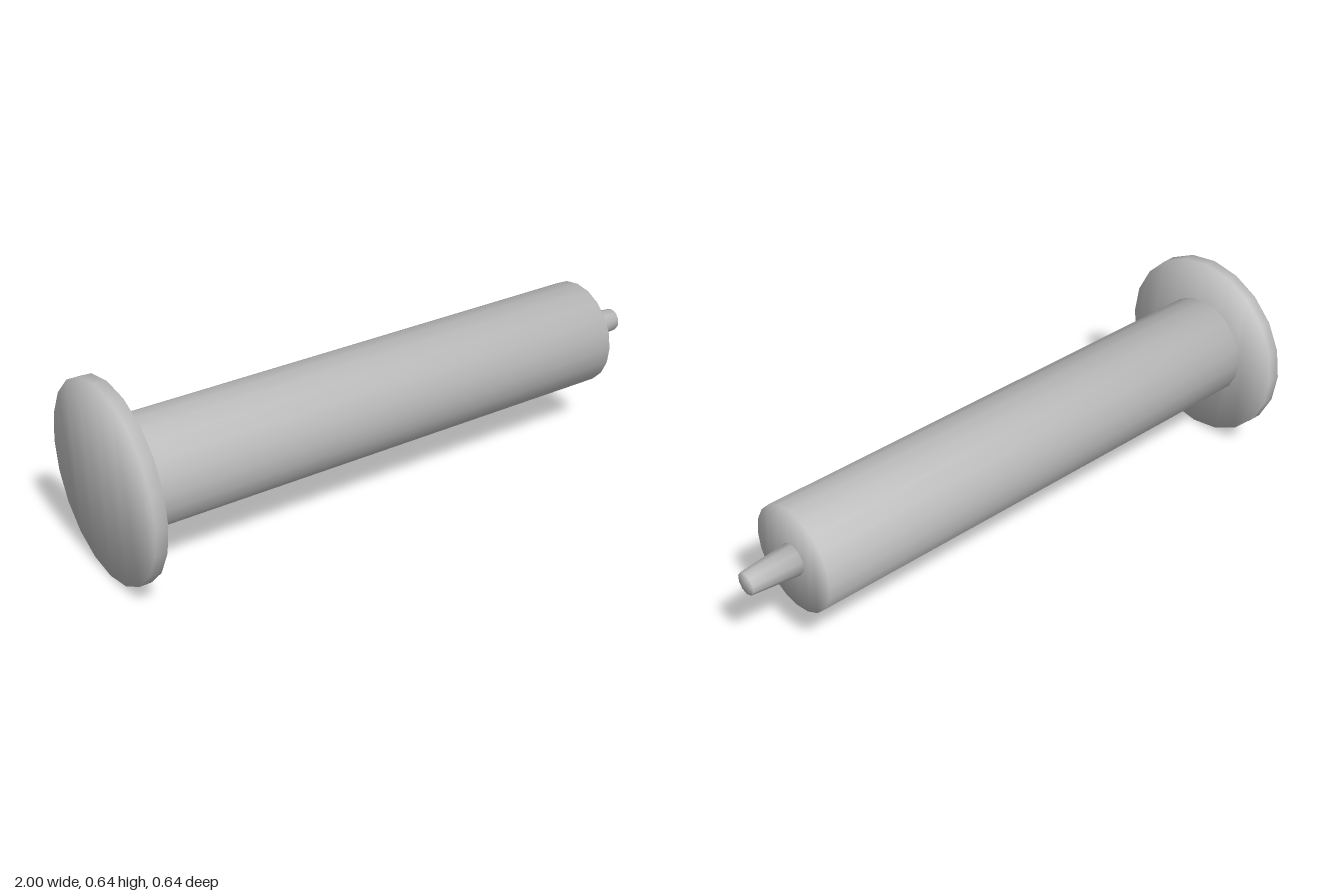
import * as THREE from 'three';

// Closed, softly shaded round solid along x; rim normals blend side and cap.
function roundSolid(x0, x1, r0, r1, sides) {
  const position = [], normal = [], index = [];
  const s = Math.SQRT1_2;
  for (const [x, r, dir] of [[x0, r0, -1], [x1, r1, 1]]) {
    for (let i = 0; i < sides; i++) {
      const a = (i / sides) * Math.PI * 2;
      position.push(x, r * Math.cos(a), r * Math.sin(a));
      normal.push(dir * s, s * Math.cos(a), s * Math.sin(a));
    }
  }
  // side wall
  for (let i = 0; i < sides; i++) {
    const j = (i + 1) % sides;
    index.push(i, j, sides + i, j, sides + j, sides + i);
  }
  // end caps, filled as zigzag strips across the rim
  const shift = Math.floor(sides / 4);
  const at = (i) => (i + shift) % sides;
  const cap = (a, b, c) => {
    index.push(sides + at(a), sides + at(b), sides + at(c));
    index.push(at(c), at(b), at(a));
  };
  for (let lo = 0, hi = sides - 1; lo + 1 < hi; lo++, hi--) {
    cap(lo, lo + 1, hi);
    if (lo + 1 < hi - 1) cap(lo + 1, hi - 1, hi);
  }
  const geometry = new THREE.BufferGeometry();
  geometry.setAttribute('position', new THREE.Float32BufferAttribute(position, 3));
  geometry.setAttribute('normal', new THREE.Float32BufferAttribute(normal, 3));
  geometry.setIndex(index);
  return geometry;
}

export function createModel() {
  const group = new THREE.Group();
  group.name = 'syringe';
  const grey = new THREE.MeshStandardMaterial({ color: 0xcccccc });
  grey.name = 'light grey';

  const parts = [
    // name, start x, end x, start radius, end radius, sides
    ['flange', -1, -0.96, 0.322, 0.322, 20],
    ['barrel', -0.96, 0.83, 0.178, 0.178, 20],
    ['nozzle', 0.83, 1, 0.0535, 0.038, 10],
  ];
  for (const [name, ...dims] of parts) {
    const mesh = new THREE.Mesh(roundSolid(...dims), grey);
    mesh.name = name;
    mesh.position.y = 0.322;
    group.add(mesh);
  }
  return group;
}
